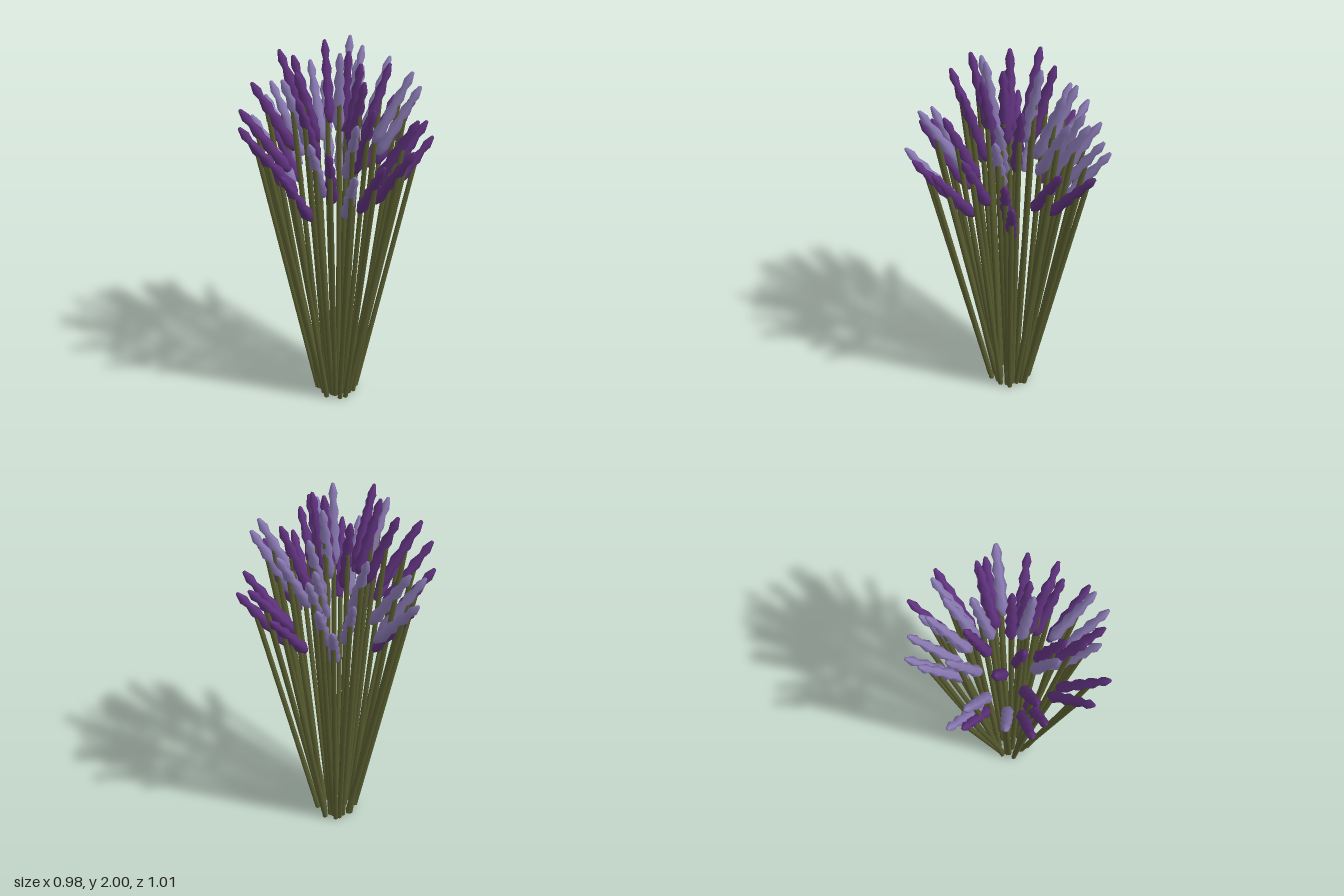
import * as THREE from 'three';

// Spike tips as x, z, y triplets, one list per blossom colour
const DARK_TIPS = [
  0.29, -0.45, 1.58, 0.40, -0.30, 1.65, 0.485, -0.09, 1.50, 0.45, -0.05, 1.60, 0.26, -0.10, 1.88,
  -0.38, -0.28, 1.55, -0.29, -0.11, 1.94, -0.21, 0.03, 1.96, -0.485, 0.03, 1.58, -0.47, 0.09, 1.70,
  -0.41, 0.06, 1.83, -0.39, 0.33, 1.63, -0.24, 0.445, 1.51, -0.17, 0.32, 1.85, -0.18, 0.22, 1.94,
  -0.02, 0.45, 1.63, 0.24, 0.43, 1.56, 0.19, 0.28, 1.78, 0.12, 0.11, 1.95, 0.38, 0.30, 1.58,
  0.40, 0.15, 1.68, 0.06, 0.02, 1.98, -0.07, -0.21, 1.96, 0.14, 0.20, 1.89,
];
const LIGHT_TIPS = [
  0.005, -0.50, 1.55, 0.075, -0.47, 1.65, -0.09, -0.44, 1.66, 0.12, -0.40, 1.76, 0.26, -0.32, 1.84,
  -0.39, -0.35, 1.61, -0.15, -0.31, 1.82, 0.41, 0.00, 1.80, 0.37, -0.01, 1.87, -0.435, -0.09, 1.60,
  -0.25, 0.18, 1.89, -0.11, 0.41, 1.66, 0.105, 0.50, 1.54, 0.11, 0.42, 1.76, 0.02, 0.11, 2.0,
  0.06, -0.16, 2.0, 0.12, -0.28, 1.91, 0.09, -0.37, 1.80, -0.35, -0.26, 1.72,
];

const SPIKE_LENGTH = 0.42;
const UP = new THREE.Vector3(0, 1, 0);

// Tapering, knobbly blossom spike with its foot at the origin
function spikeGeometry() {
  const profile = [
    [0, 0], [0.016, 0.004], [0.033, 0.06], [0.022, 0.13], [0.032, 0.175], [0.020, 0.23],
    [0.029, 0.27], [0.016, 0.325], [0.024, 0.365], [0.009, 0.415], [0, SPIKE_LENGTH],
  ].map(([r, y]) => new THREE.Vector2(r, y));
  return new THREE.LatheGeometry(profile, 6);
}

export function createModel() {
  const bouquet = new THREE.Group();
  bouquet.name = 'lavenderBunch';
  const stemMaterial = new THREE.MeshStandardMaterial({ color: 0x5a5e30 });
  const spikeGeo = spikeGeometry();

  function addFlower(x, z, y, inset, spikeMaterial) {
    const flower = new THREE.Group();
    flower.name = 'flower';
    const tip = new THREE.Vector3(x, y, z);
    const radius = Math.hypot(x, z);

    // Spikes lean outward more the farther they are from the middle
    const lean = Math.asin(0.5 * radius / SPIKE_LENGTH);
    const axis = new THREE.Vector3(
      x / radius * Math.sin(lean), Math.cos(lean), z / radius * Math.sin(lean));
    const spike = new THREE.Mesh(spikeGeo, spikeMaterial);
    spike.name = 'blossomSpike';
    spike.position.copy(tip).addScaledVector(axis, -SPIKE_LENGTH);
    spike.quaternion.setFromUnitVectors(UP, axis);

    // Straight stem from the tight foot of the bunch into the spike
    const foot = 0.04 + 0.135 * radius - inset;
    const start = new THREE.Vector3(x / radius * foot, 0.003, z / radius * foot);
    const end = tip.clone().addScaledVector(axis, -0.35 * SPIKE_LENGTH);
    const run = end.clone().sub(start);
    const stem = new THREE.Mesh(
      new THREE.CylinderGeometry(0.0135, 0.0145, run.length(), 6), stemMaterial);
    stem.name = 'stem';
    stem.position.copy(start).add(end).multiplyScalar(0.5);
    stem.quaternion.setFromUnitVectors(UP, run.normalize());

    flower.add(stem, spike);
    bouquet.add(flower);
  }

  for (const [tips, color] of [[DARK_TIPS, 0x613380], [LIGHT_TIPS, 0x8b7bb5]]) {
    const spikeMaterial = new THREE.MeshStandardMaterial({ color });
    for (let i = 0; i < tips.length; i += 3) {
      // Every other stem stands a little nearer the middle
      const inset = i % 2 === 0 ? 0 : 0.02;
      addFlower(tips[i], tips[i + 1], tips[i + 2], inset, spikeMaterial);
    }
  }
  return bouquet;
}
